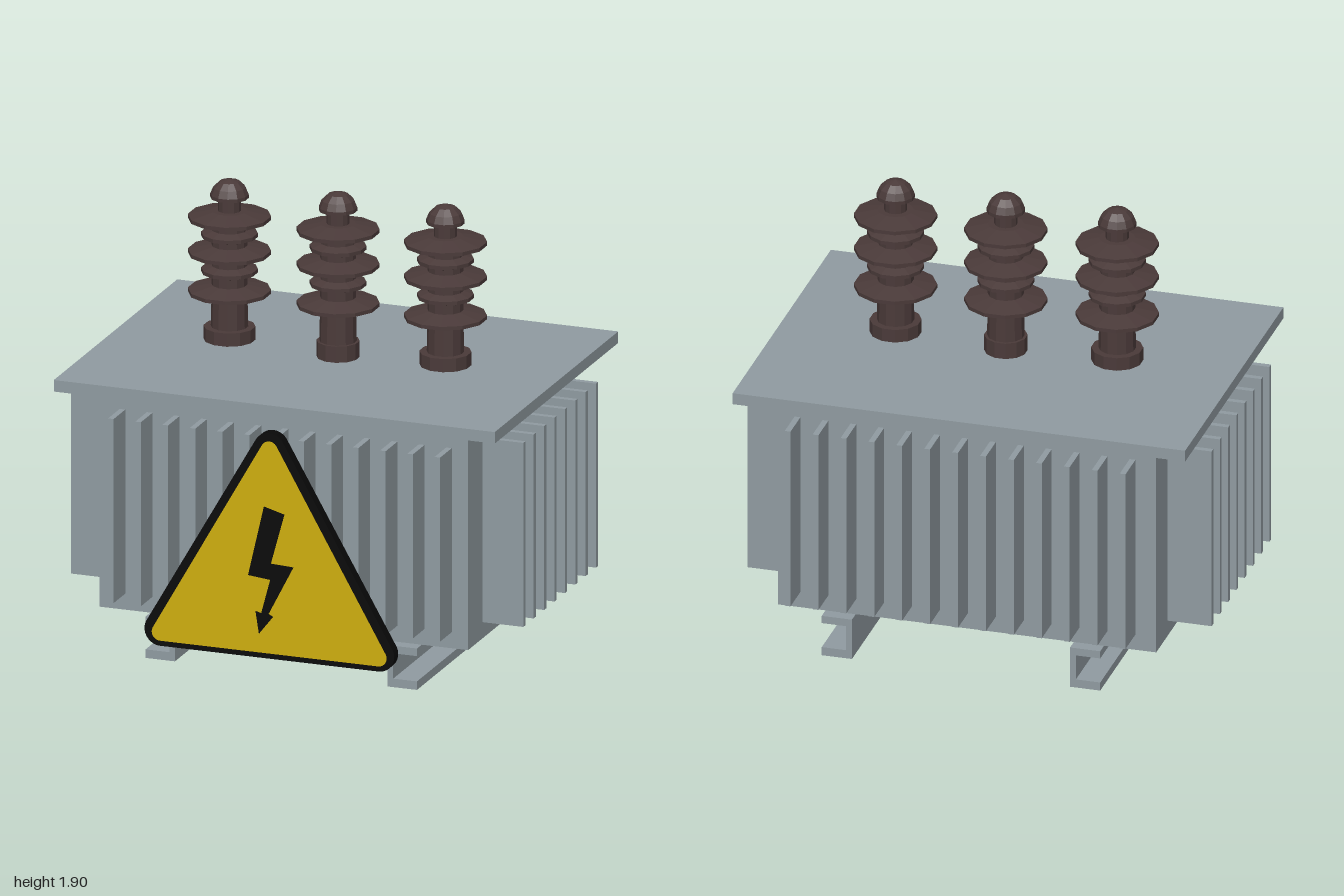
import * as THREE from 'three';

const steel = new THREE.MeshStandardMaterial({ color: 0x909ba1 });
steel.name = 'greySteel';
const brown = new THREE.MeshStandardMaterial({ color: 0x4a3a39, flatShading: true });
brown.name = 'brownCeramic';
const yellow = new THREE.MeshStandardMaterial({ color: 0xcfae0c });
yellow.name = 'warningYellow';
const black = new THREE.MeshStandardMaterial({ color: 0x080808 });
black.name = 'signBlack';

function add(parent, name, geometry, material) {
  const mesh = new THREE.Mesh(geometry, material);
  mesh.name = name;
  parent.add(mesh);
  return mesh;
}

// Box given by its limits on each axis
function box(parent, name, [x0, x1], [y0, y1], [z0, z1]) {
  const mesh = add(parent, name, new THREE.BoxGeometry(x1 - x0, y1 - y0, z1 - z0), steel);
  mesh.position.set((x0 + x1) / 2, (y0 + y1) / 2, (z0 + z1) / 2);
  return mesh;
}

// Triangle with rounded corners around three corner centres
function roundedTriangle(cx, halfWidth, bottom, top, r) {
  const a = Math.atan2(halfWidth, top - bottom);
  const shape = new THREE.Shape();
  shape.absarc(cx - halfWidth, bottom, r, Math.PI - a, Math.PI * 1.5, false);
  shape.absarc(cx + halfWidth, bottom, r, -Math.PI / 2, a, false);
  shape.absarc(cx, top, r, a, Math.PI - a, false);
  shape.closePath();
  return shape;
}

function plate(parent, name, shape, z0, z1, material) {
  const geometry = new THREE.ExtrudeGeometry(shape, { depth: z1 - z0, bevelEnabled: false, curveSegments: 10 });
  add(parent, name, geometry, material).position.z = z0;
}

// Ribbed bushing; the foot differs between the middle and outer ones
function bushing(x, footRadius, footBottom, footTop) {
  const profile = [[0, footBottom], [footRadius, footBottom], [footRadius, footTop], [0.078, footTop]];
  const discs = [[1.41, 0.173], [1.5, 0.118], [1.58, 0.173], [1.655, 0.118], [1.73, 0.173]];
  for (const [y, r] of discs) {
    const h = r > 0.15 ? 0.029 : 0.022;
    profile.push([0.075, y - h], [r, y - 0.008], [r, y + 0.008], [0.075, y + h]);
  }
  profile.push([0.048, 1.759], [0.048, 1.815], [0.08, 1.815], [0.08, 1.83],
    [0.068, 1.86], [0.042, 1.885], [0, 1.897]);
  const geometry = new THREE.LatheGeometry(profile.map(([r, y]) => new THREE.Vector2(r, y)), 12, Math.PI / 12);
  const mesh = new THREE.Mesh(geometry, brown);
  mesh.name = 'bushing';
  mesh.position.set(x, 0, -0.035);
  return mesh;
}

export function createModel() {
  const model = new THREE.Group();
  model.name = 'transformer';

  // Tank and lid
  box(model, 'tank', [-0.81, 0.82], [0.18, 1.13], [-0.635, 0.57]);
  box(model, 'lid', [-0.97, 0.98], [1.13, 1.18], [-0.755, 0.68]);

  // Cooling fins on all four sides
  const fins = new THREE.Group();
  fins.name = 'coolingFins';
  model.add(fins);
  const height = [0.25, 1.05];
  for (let i = 0; i < 13; i++) {
    const x = -0.708 + i * 0.1203;
    box(fins, 'frontFin', [x - 0.0125, x + 0.0125], height, [0.56, 0.705]);
    box(fins, 'backFin', [x - 0.0125, x + 0.0125], height, [-0.78, -0.625]);
  }
  for (let i = 0; i < 8; i++) {
    const z = -0.457 + i * 0.1207;
    box(fins, 'rightFin', [-1, -0.8], height, [z - 0.0125, z + 0.0125]);
    box(fins, 'leftFin', [0.81, 1], height, [z - 0.0125, z + 0.0125]);
  }

  // Channel rails, open outwards
  const channel = new THREE.Shape([[0.47, 0], [0.6, 0], [0.6, 0.037], [0.495, 0.037],
    [0.495, 0.147], [0.6, 0.147], [0.6, 0.18], [0.47, 0.18]].map(([x, y]) => new THREE.Vector2(x, y)));
  const railGeometry = new THREE.ExtrudeGeometry(channel, { depth: 1.315, bevelEnabled: false });
  add(model, 'leftRail', railGeometry, steel).position.set(0.015, 0, -0.69);
  const rightRail = add(model, 'rightRail', railGeometry, steel);
  rightRail.rotation.y = Math.PI;
  rightRail.position.set(0.015, 0, 0.625);

  // Bushings
  model.add(bushing(-0.465, 0.108, 1.2, 1.257));
  model.add(bushing(0.015, 0.09, 1.18, 1.25));
  model.add(bushing(0.49, 0.108, 1.2, 1.257));

  // Warning sign, painted on both faces
  const sign = new THREE.Group();
  sign.name = 'warningSign';
  model.add(sign);
  const face = roundedTriangle(0.022, 0.482, 0.175, 1.022, 0.037);
  const bolt = new THREE.Shape([[0, 0.775], [-0.07, 0.47], [0.028, 0.46], [-0.012, 0.31], [-0.037, 0.317],
    [-0.022, 0.22], [0.04, 0.3], [0.02, 0.31], [0.13, 0.525], [0.03, 0.53], [0.09, 0.75]]
    .map(([x, y]) => new THREE.Vector2(x, y)));
  plate(sign, 'signBoard', roundedTriangle(0.022, 0.482, 0.185, 1.025, 0.07), 0.735, 0.782, black);
  plate(sign, 'signFace', face, 0.781, 0.785, yellow);
  plate(sign, 'signBolt', bolt, 0.784, 0.788, black);
  plate(sign, 'signBackFace', face, 0.732, 0.736, yellow);
  plate(sign, 'signBackBolt', bolt, 0.729, 0.733, black);

  return model;
}
